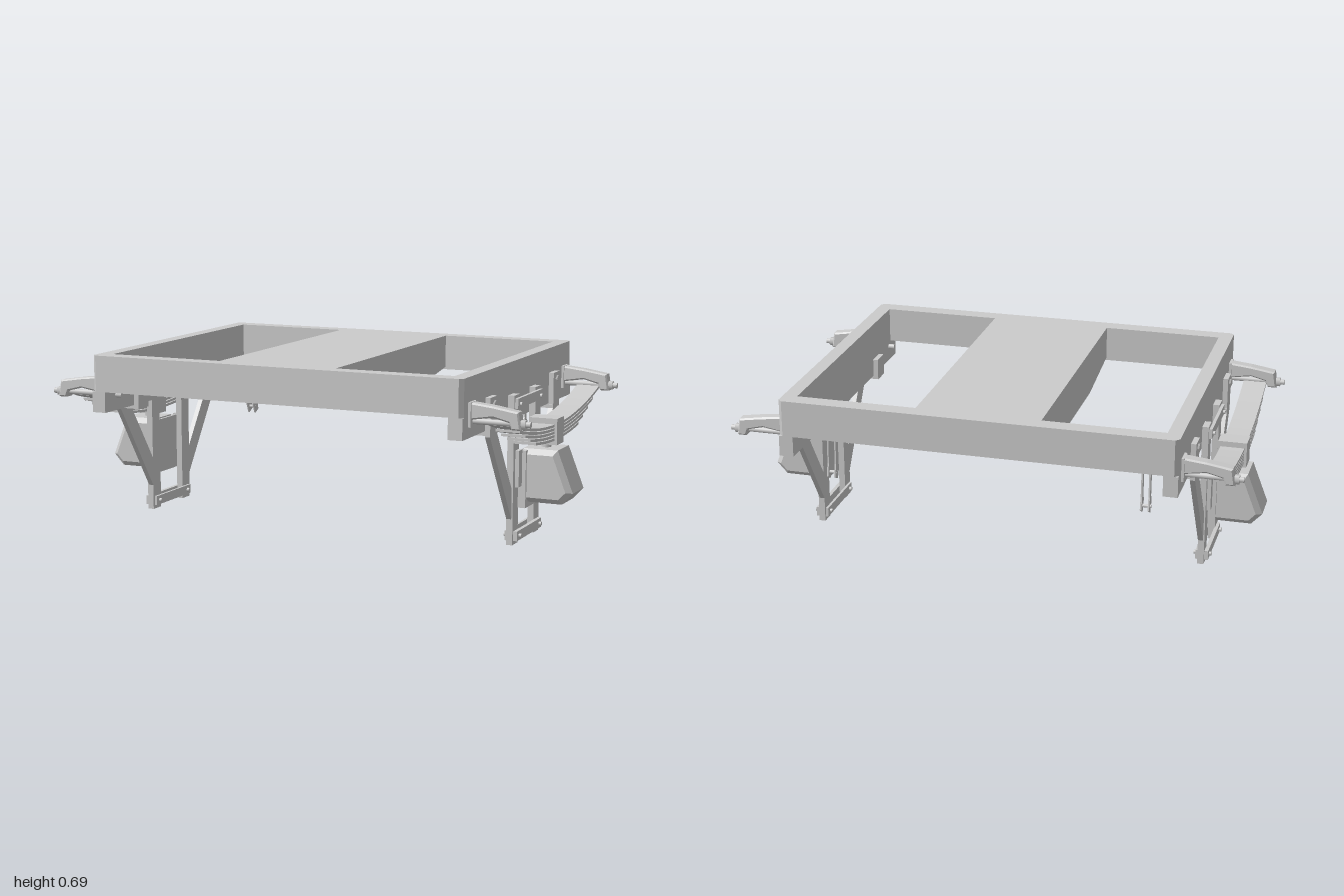
import * as THREE from 'three';

const mat = new THREE.MeshStandardMaterial({ color: 0xcccccc, side: THREE.DoubleSide });

function add(parent, name, geo, x = 0, y = 0, z = 0) {
  const m = new THREE.Mesh(geo, mat);
  m.name = name;
  m.position.set(x, y, z);
  parent.add(m);
  return m;
}

// box given by its limits on each axis
function box(parent, name, [x0, x1], [y0, y1], [z0, z1]) {
  return add(parent, name, new THREE.BoxGeometry(x1 - x0, y1 - y0, z1 - z0),
    (x0 + x1) / 2, (y0 + y1) / 2, (z0 + z1) / 2);
}

const toShape = (pts) => new THREE.Shape(pts.map(([a, b]) => new THREE.Vector2(a, b)));

// (z, y) profile extruded from x0 to x1
function plateX(parent, name, pts, x0, x1) {
  const g = new THREE.ExtrudeGeometry(toShape(pts), { depth: x1 - x0, bevelEnabled: false });
  g.rotateY(-Math.PI / 2).translate(x1, 0, 0);
  return add(parent, name, g);
}

// (x, y) profile extruded from z0 to z1, with an optional chamfer
function plateZ(parent, name, pts, z0, z1, bevel = 0) {
  const g = new THREE.ExtrudeGeometry(toShape(pts), {
    depth: z1 - z0 - 2 * bevel, bevelEnabled: bevel > 0, bevelSize: bevel,
    bevelThickness: bevel, bevelOffset: -bevel, bevelSegments: 1,
  });
  g.translate(0, 0, z0 + bevel);
  return add(parent, name, g);
}

function pinX(parent, name, r, x0, x1, y, z, sides = 8) {
  const g = new THREE.CylinderGeometry(r, r, x1 - x0, sides).rotateZ(Math.PI / 2);
  return add(parent, name, g, (x0 + x1) / 2, y, z);
}

// upper ring, deep side sills and the fish-bellied centre panel
function buildFrame() {
  const frame = new THREE.Group();
  frame.name = 'frame';
  const c = 0.015, X = 0.76, Z = 0.605;
  const ring = toShape([[-X + c, -Z], [X - c, -Z], [X, -Z + c], [X, Z - c],
    [X - c, Z], [-X + c, Z], [-X, Z - c], [-X, -Z + c]]);
  ring.holes.push(toShape([[-0.705, -0.54], [-0.705, 0.54], [0.705, 0.54], [0.705, -0.54]]));
  const g = new THREE.ExtrudeGeometry(ring, { depth: 0.14, bevelEnabled: false });
  add(frame, 'upperFrame', g.rotateX(-Math.PI / 2), 0, 0.55, 0);
  for (const s of [-1, 1]) {
    box(frame, 'sideSill', s > 0 ? [0.705, X] : [-X, -0.705], [0.47, 0.55], [-Z, Z]);
  }
  plateX(frame, 'centrePanel', [[-0.54, 0.69], [-0.54, 0.56], [-0.24, 0.512],
    [0.24, 0.512], [0.54, 0.56], [0.54, 0.69]], -0.24, 0.24);
  return frame;
}

// axle guard: two legs, two diagonal stays, mounting plates and tie bars
function buildAxleGuard() {
  const guard = new THREE.Group();
  guard.name = 'axleGuard';
  for (const s of [-1, 1]) {
    const side = (pts) => pts.map(([z, y]) => [s * z, y]);
    plateX(guard, 'guardLeg', side([[0.09, 0], [0.15, 0], [0.15, 0.57], [0.09, 0.57]]), 0.765, 0.79);
    plateX(guard, 'guardStay', side([[0.15, 0.10], [0.39, 0.45], [0.39, 0.595],
      [0.32, 0.595], [0.32, 0.46], [0.15, 0.215]]), 0.765, 0.785);
    // strap hooked under the sill
    const z = s > 0 ? [0.315, 0.39] : [-0.39, -0.315];
    box(guard, 'strapFoot', [0.685, 0.785], [0.455, 0.47], z);
    box(guard, 'strapBack', [0.685, 0.705], [0.455, 0.54], z);
    pinX(guard, 'stayBolt', 0.014, 0.78, 0.792, 0.57, s * 0.355, 3);
    pinX(guard, 'keepBolt', 0.008, 0.745, 0.815, 0.033, s * 0.115);
    pinX(guard, 'tieBolt', 0.008, 0.79, 0.81, 0.535, s * 0.115);
  }
  box(guard, 'keepBar', [0.79, 0.805], [0.015, 0.052], [-0.14, 0.14]);
  box(guard, 'keepBarInner', [0.755, 0.765], [0.015, 0.052], [-0.14, 0.14]);
  box(guard, 'upperTie', [0.79, 0.802], [0.52, 0.558], [-0.14, 0.14]);
  return guard;
}

// axle box with a flared, chamfered cover
function buildAxleBox() {
  const axle = new THREE.Group();
  axle.name = 'axleBox';
  box(axle, 'axleBoxBack', [0.79, 0.82], [0.135, 0.355], [-0.095, 0.095]);
  box(axle, 'guideFlange', [0.79, 0.805], [0.22, 0.36], [0.09, 0.13]);
  plateZ(axle, 'axleBoxCover', [[0.80, 0.155], [0.955, 0.155], [0.997, 0.20],
    [0.935, 0.36], [0.80, 0.36]], -0.085, 0.085, 0.02);
  const post = new THREE.CylinderGeometry(0.018, 0.018, 0.03, 10);
  add(axle, 'springSeat', post, 0.868, 0.367, 0);
  return axle;
}

// stacked curved leaves held by a buckle
function buildSpring() {
  const spring = new THREE.Group();
  spring.name = 'leafSpring';
  [0.515, 0.43, 0.37, 0.31, 0.25].forEach((half, i) => {
    const top = [], bottom = [], steps = 14;
    for (let k = 0; k <= steps; k++) {
      const z = -half + (2 * half * k) / steps;
      const y = 0.453 - i * 0.013 + 0.28 * z * z;
      bottom.push([z, y - 0.01]);
      top.unshift([z, y]);
    }
    plateX(spring, 'springLeaf', [...bottom, ...top], 0.82, 0.912);
  });
  box(spring, 'springBuckle', [0.81, 0.922], [0.375, 0.475], [-0.04, 0.04]);
  return spring;
}

// bracket arm carrying one spring end
function buildHanger(z) {
  const hanger = new THREE.Group();
  hanger.name = 'springHanger';
  plateZ(hanger, 'hangerArm', [[0.755, 0.535], [0.85, 0.55], [0.91, 0.535], [0.92, 0.51],
    [0.955, 0.51], [0.945, 0.575], [0.85, 0.59], [0.755, 0.60]], z - 0.024, z + 0.024, 0.006);
  pinX(hanger, 'hangerPin', 0.011, 0.68, 0.985, 0.53, z);
  pinX(hanger, 'hangerNut', 0.018, 0.95, 0.968, 0.53, z, 6);
  box(hanger, 'hangerPlate', [0.76, 0.77], [0.51, 0.60], [z - 0.03, z + 0.03]);
  return hanger;
}

// twin-strap hook hung from the inside of a sill; s is the side
function buildHook(s) {
  const hook = new THREE.Group();
  hook.name = 'hangingHook';
  const span = (a, b) => (s > 0 ? [a, b] : [-b, -a]);
  box(hook, 'hookArm', span(0.60, 0.71), [0.545, 0.558], [-0.44, -0.428]);
  for (const x of [0.598, 0.627]) {
    plateX(hook, 'hookStrap', [[-0.42, 0.56], [-0.442, 0.56], [-0.45, 0.39],
      [-0.462, 0.34], [-0.435, 0.325], [-0.416, 0.37], [-0.428, 0.39]],
    s * x - 0.003, s * x + 0.003);
  }
  pinX(hook, 'hookPin', 0.007, ...span(0.594, 0.634), 0.352, -0.44);
  return hook;
}

export function createModel() {
  const model = new THREE.Group();
  model.name = 'wagonUnderframe';
  model.add(buildFrame());
  // running gear, turned half round for the other side
  for (const s of [1, -1]) {
    const gear = new THREE.Group();
    gear.name = s > 0 ? 'leftRunningGear' : 'rightRunningGear';
    gear.add(buildAxleGuard(), buildAxleBox(), buildSpring(), buildHanger(0.52), buildHanger(-0.52));
    if (s < 0) gear.rotation.y = Math.PI;
    model.add(gear, buildHook(s));
  }
  return model;
}
